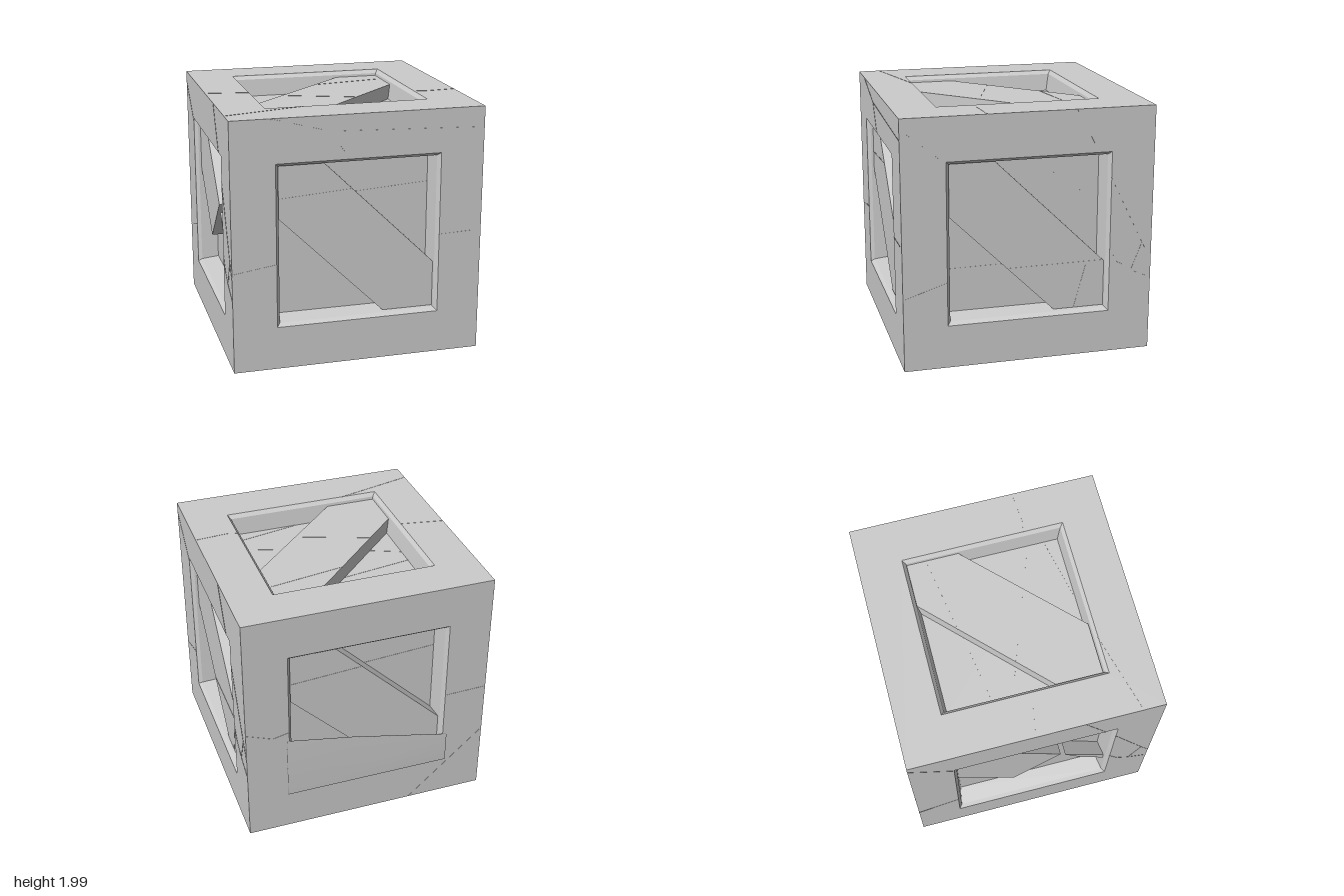
import * as THREE from 'three';
import { mergeGeometries, mergeVertices } from 'three/addons/utils/BufferGeometryUtils.js';

const H = 0.995;            // half size of the crate
const PANEL = -0.17;        // depth of the inset panel
const BRACE = -0.05;        // depth of the brace's outer surface

const grey = new THREE.MeshStandardMaterial({ color: 0xcccccc, flatShading: true, side: THREE.DoubleSide });
const smooth = new THREE.MeshStandardMaterial({ color: 0xcccccc, side: THREE.DoubleSide });

function mesh(name, geometry, material = grey) {
  const m = new THREE.Mesh(geometry, material);
  m.name = name;
  return m;
}

function prism(points, depth, z) {
  const shape = new THREE.Shape(points.map(([x, y]) => new THREE.Vector2(x, y)));
  return new THREE.ExtrudeGeometry(shape, { depth, bevelEnabled: false }).translate(0, 0, z);
}

// Square frame, bevelled opening and inset panel, turned as a four-sided lathe
function frameGeometry() {
  const profile = [[H, 0], [0.65, 0], [0.625, -0.03], [0.6, PANEL], [0, PANEL]]
    .map(([r, y]) => new THREE.Vector2(r * Math.SQRT2, y));
  return new THREE.LatheGeometry(profile, 4, Math.PI / 4).rotateX(Math.PI / 2);
}

// Hairline cracks: thin strips along polylines at a given depth
function crackGeometry(cracks) {
  const strips = [];
  for (const [z, ...pts] of cracks) {
    for (let i = 1; i < pts.length; i++) {
      const [ax, ay] = pts[i - 1], [bx, by] = pts[i];
      strips.push(new THREE.BoxGeometry(Math.hypot(bx - ax, by - ay), 0.008, 0.004)
        .rotateZ(Math.atan2(by - ay, bx - ax))
        .translate((ax + bx) / 2, (ay + by) / 2, z));
    }
  }
  return mergeGeometries(strips);
}

const fullBrace = [[-0.62, 0.625], [-0.27, 0.625], [0.62, -0.245], [0.62, -0.615], [0.21, -0.615], [-0.62, 0.205]];
const brokenBrace = [[-0.62, 0.625], [-0.27, 0.625], [0.23, 0.135], [-0.16, -0.25], [-0.62, 0.205]];
const splinter = [[0.27, 0.08], [0.62, -0.245], [0.62, -0.33], [0.42, -0.13]];

const frontCracks = [
  [0, [-0.68, 0.99], [-0.23, 0.87], [-0.07, 0.65]],
  [0, [-0.23, 0.87], [0.99, 0.83]],
  [0, [-0.99, -0.19], [-0.65, -0.14]],
  [0, [0.65, -0.01], [0.92, 0]],
  [BRACE, [-0.62, 0.36], [-0.05, 0.4]],
  [PANEL, [0, 0.34], [0.6, 0.38]],
];
const backCracks = [
  [0, [-0.99, 0], [-0.78, -0.08], [-0.65, -0.05]],
  [0, [0.65, -0.01], [0.99, 0]],
  [0, [0.38, -0.99], [0.99, -0.43]],
  [BRACE, [-0.62, 0.36], [-0.05, 0.4]],
  [PANEL, [0, 0.34], [0.6, 0.38]],
];
const sideCracks = [
  [0, [-0.99, 0.91], [-0.65, 0.63]],
  [0, [-0.99, -0.41], [-0.65, -0.3]],
  [0, [0.37, 0.99], [0.55, 0.65]],
  [0, [0.65, 0.45], [0.92, -0.1], [0.99, -0.23]],
  [0, [0.65, -0.13], [0.72, -0.25], [0.83, -0.33], [0.99, -0.4]],
  [0, [0.92, -0.1], [0.83, -0.33]],
  [PANEL, [-0.6, -0.25], [-0.17, -0.245]],
  [PANEL, [0.05, 0.6], [0.6, 0.2]],
];
const sideBraceCracks = [
  [BRACE, [-0.15, -0.245], [0.48, -0.24]],
  [BRACE, [0.6, -0.24], [0.48, -0.24], [0.38, -0.61]],
];
const topCracks = [
  [0, [-0.99, 0.01], [-0.65, -0.05]],
  [0, [-0.99, -0.82], [-0.35, -0.65]],
  [0, [0.65, -0.33], [0.73, -0.35], [0.99, -0.33]],
  [PANEL, [-0.6, 0.24], [-0.02, 0.33]],
  [BRACE, [0, 0.36], [0.6, 0.46]],
  [PANEL, [-0.6, 0.1], [-0.36, 0]],
  [BRACE, [-0.36, 0], [0.19, -0.2]],
  [PANEL, [0.2, -0.2], [0.6, -0.35]],
  [PANEL, [0.08, -0.6], [0.6, -0.49]],
];

const flip = points => points.map(([x, y]) => [-x, y]);
const P = Math.PI / 2;
const sides = [
  { name: 'frontSide', rot: [0, 0], braces: [fullBrace], cracks: frontCracks },
  { name: 'leftSide', rot: [0, P], braces: [fullBrace], cracks: [...sideCracks, ...sideBraceCracks] },
  { name: 'backSide', rot: [0, 2 * P], braces: [fullBrace], cracks: backCracks },
  { name: 'rightSide', rot: [0, -P], braces: [brokenBrace, splinter], cracks: sideCracks },
  { name: 'topSide', rot: [-P, 0], braces: [flip(fullBrace)], cracks: topCracks },
  { name: 'bottomSide', rot: [P, 0], braces: [], cracks: [[0, [0.65, -0.1], [0.99, 0]]] },
];

export function createModel() {
  const crate = new THREE.Group();
  crate.name = 'crate';

  for (const { name, rot, braces, cracks } of sides) {
    const side = new THREE.Group();
    side.name = name;
    side.add(mesh('frameAndPanel', frameGeometry()));
    for (const points of braces) {
      side.add(mesh('diagonalBrace', prism(points, BRACE - PANEL, PANEL)));
    }
    side.add(mesh('cracks', crackGeometry(cracks)));
    side.rotation.set(rot[0], rot[1], 0);
    side.position.set(0, 0, H).applyEuler(side.rotation).add(new THREE.Vector3(0, H, 0.005));
    crate.add(side);
  }

  // Thin sheet covering the lower part of the back opening
  const sheet = prism([[0.67, 0.33], [0.67, 0.87], [0.12, 0.77], [-0.68, 0.59], [-0.68, 0.33]], 0.008, -1);
  sheet.deleteAttribute('uv');
  sheet.deleteAttribute('normal');
  const sheetGeometry = mergeVertices(sheet);
  sheetGeometry.computeVertexNormals();
  crate.add(mesh('backSheet', sheetGeometry, smooth));

  return crate;
}
